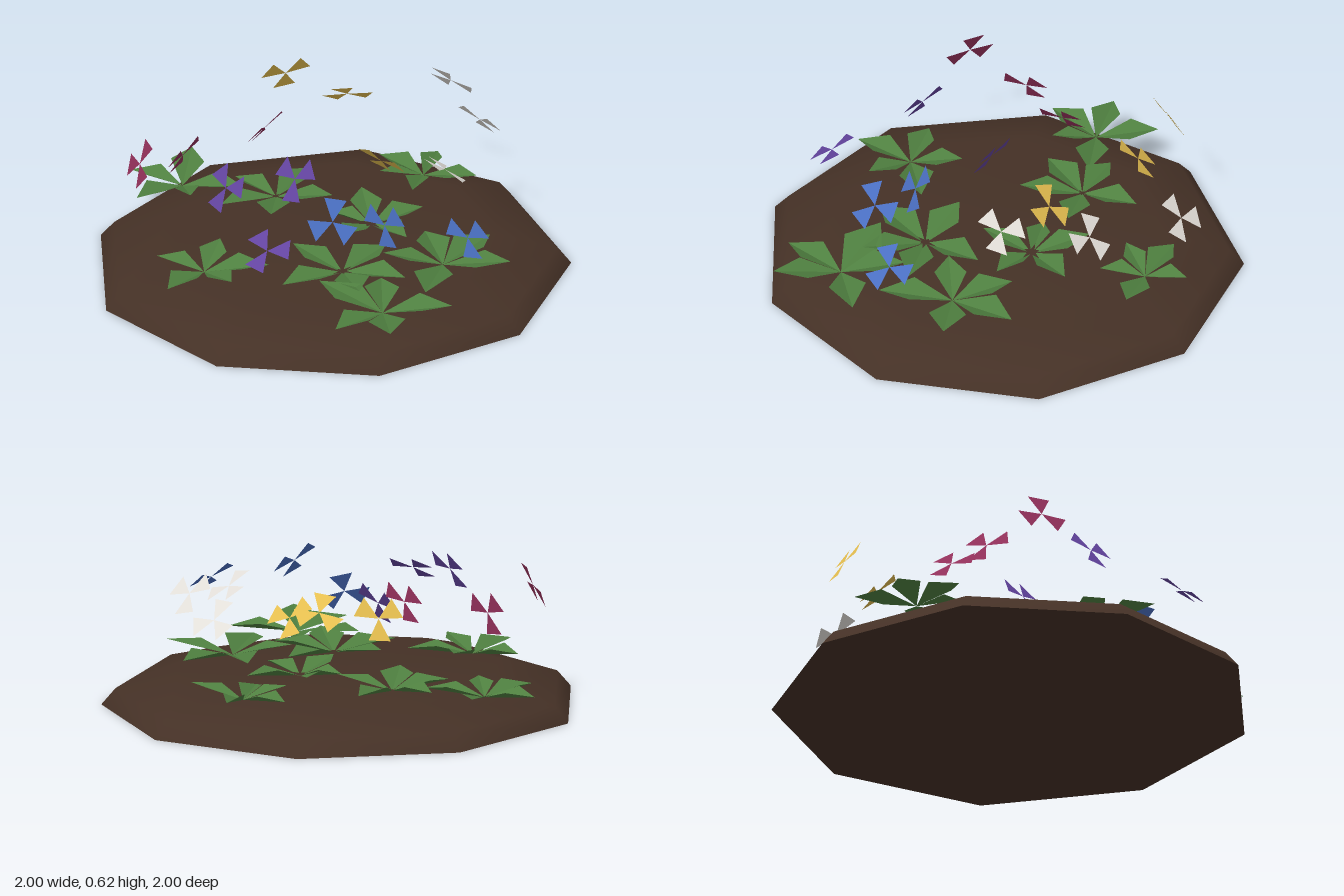
import * as THREE from 'three';

const mat = (name, color, flatShading = false) => {
  const m = new THREE.MeshStandardMaterial({ color, flatShading, side: THREE.DoubleSide });
  m.name = name;
  return m;
};

function triangles(points) {
  const g = new THREE.BufferGeometry().setFromPoints(points);
  g.computeVertexNormals();
  return g;
}

// One leaf: a kite folded along its midrib, running along +x from its base
function leafGeometry(length, lift) {
  const base = new THREE.Vector3(0, 0, 0);
  const tip = new THREE.Vector3(length, 0.035 + lift, 0);
  const sideA = new THREE.Vector3(length * 0.55, 0.05, -length * 0.27);
  const sideB = new THREE.Vector3(length * 0.55, 0.045, length * 0.27);
  return triangles([base, tip, sideA, base, sideB, tip]);
}

// One flower: three wedge petals lying in the xz plane, first along +x
function flowerGeometry() {
  const pts = [];
  for (let i = 0; i < 3; i++) {
    const a = (i * Math.PI * 2) / 3, r = 0.108, h = 0.46;
    const at = (t) => new THREE.Vector3(Math.cos(t) * r, 0, Math.sin(t) * r);
    pts.push(new THREE.Vector3(), at(a + h), at(a - h));
  }
  return triangles(pts);
}

export function createModel() {
  const model = new THREE.Group();
  model.name = 'flowerBed';
  const soil = mat('soil brown', 0x453126);
  soil.side = THREE.FrontSide;
  const green = mat('leaf green', 0x4f8040, true);

  // Nine-sided soil mound
  const mound = new THREE.Group();
  mound.name = 'soilMound';
  const profile = [[1.015, 0], [0.955, 0.07], [0.69, 0.145], [0, 0.158]].map((p) => new THREE.Vector2(...p));
  const dome = new THREE.Mesh(new THREE.LatheGeometry(profile, 9, Math.PI / 2), soil);
  dome.name = 'moundTop';
  const under = new THREE.Mesh(new THREE.CircleGeometry(1.015, 9), soil);
  under.name = 'moundBase';
  under.rotation.x = Math.PI / 2;
  mound.add(dome, under);
  mound.scale.x = 0.985;
  mound.position.x = 0.0;
  model.add(mound);

  // Leaf rosettes: centre x, z, then [angle in degrees, length] per leaf
  const rosettes = [
    [-0.035, -0.68, [[180, 0.23], [-13, 0.245], [-108, 0.18], [124, 0.19], [66, 0.19]]],
    [-0.40, -0.15, [[-96, 0.25], [-18, 0.25], [181, 0.22], [57, 0.26], [115, 0.26]]],
    [-0.77, 0.01, [[167, 0.235], [-119, 0.26], [-25, 0.26], [42, 0.19], [102, 0.25]]],
    [0.07, -0.19, [[-66, 0.245], [-137, 0.25], [164, 0.19], [87, 0.23], [10, 0.22]]],
    [0.53, -0.085, [[-87, 0.3], [-24, 0.29], [66, 0.31], [145, 0.25], [-144, 0.27]]],
    [0.24, 0.225, [[-86, 0.27], [181, 0.265], [109, 0.3], [38, 0.28], [-17, 0.28]]],
    [0.60, 0.417, [[-41, 0.29], [46, 0.29], [97, 0.28], [179, 0.33], [-129, 0.27]]],
    [-0.217, 0.577, [[169, 0.22], [-110, 0.22], [-41, 0.27], [21, 0.22], [89, 0.255]]],
  ];
  for (const [x, z, leaves] of rosettes) {
    const plant = new THREE.Group();
    plant.name = 'leafRosette';
    plant.position.set(x, 0.147, z);
    leaves.forEach(([deg, length], i) => {
      const leaf = new THREE.Mesh(leafGeometry(length, i % 2 ? 0.015 : -0.01), green);
      leaf.name = 'leaf';
      leaf.rotation.y = THREE.MathUtils.degToRad(-deg);
      plant.add(leaf);
    });
    model.add(plant);
  }

  // Flowers by colour: [position], [facing], heading of one petal in degrees
  const beds = [
    [mat('petal white', 0xe4e0da, true), [
      [[-0.03, 0.52, -0.86], [0, 0.68, -0.73], 90],
      [[0.31, 0.54, -0.62], [0.1, 0.65, -0.75], -95],
      [[0.41, 0.49, -0.25], [0.25, 0.8, -0.5], 100],
    ]],
    [mat('petal yellow', 0xe6bf50, true), [
      [[-0.29, 0.525, -0.49], [-0.4, 0.75, -0.5], -60],
      [[-0.59, 0.54, -0.46], [-0.75, 0.5, -0.45], 80],
      [[0.06, 0.41, -0.27], [0, 0.68, -0.73], 0],
    ]],
    [mat('petal crimson', 0x92305a, true), [
      [[-0.39, 0.51, -0.06], [-0.75, 0.6, 0.1], 70],
      [[-0.59, 0.44, 0.24], [-0.85, 0.5, 0.1], 180],
      [[-0.60, 0.51, 0.52], [-0.5, 0.4, 0.75], 90],
    ]],
    [mat('petal purple', 0x6344a0, true), [
      [[-0.10, 0.43, 0.11], [-0.1, 0.5, 0.85], 90],
      [[-0.17, 0.52, 0.49], [-0.2, 0.5, 0.8], -110],
      [[0.21, 0.43, 0.70], [0.1, 0.83, 0.55], 90],
    ]],
    [mat('petal blue', 0x4a6fc2, true), [
      [[0.23, 0.40, 0.28], [0.65, 0.5, 0.55], 100],
      [[0.52, 0.485, 0.30], [0.77, 0.64, 0], -90],
      [[0.78, 0.415, 0.07], [0.65, 0.76, 0], -90],
    ]],
  ];
  const petals = flowerGeometry();
  for (const [material, flowers] of beds) {
    for (const [pos, facing, deg] of flowers) {
      const flower = new THREE.Mesh(petals, material);
      flower.name = 'flower';
      const a = THREE.MathUtils.degToRad(deg);
      const up = new THREE.Vector3(...facing).normalize();
      const along = new THREE.Vector3(Math.cos(a), 0, Math.sin(a)).projectOnPlane(up).normalize();
      const side = new THREE.Vector3().crossVectors(along, up);
      flower.quaternion.setFromRotationMatrix(new THREE.Matrix4().makeBasis(along, up, side));
      flower.position.set(...pos);
      model.add(flower);
    }
  }
  return model;
}
